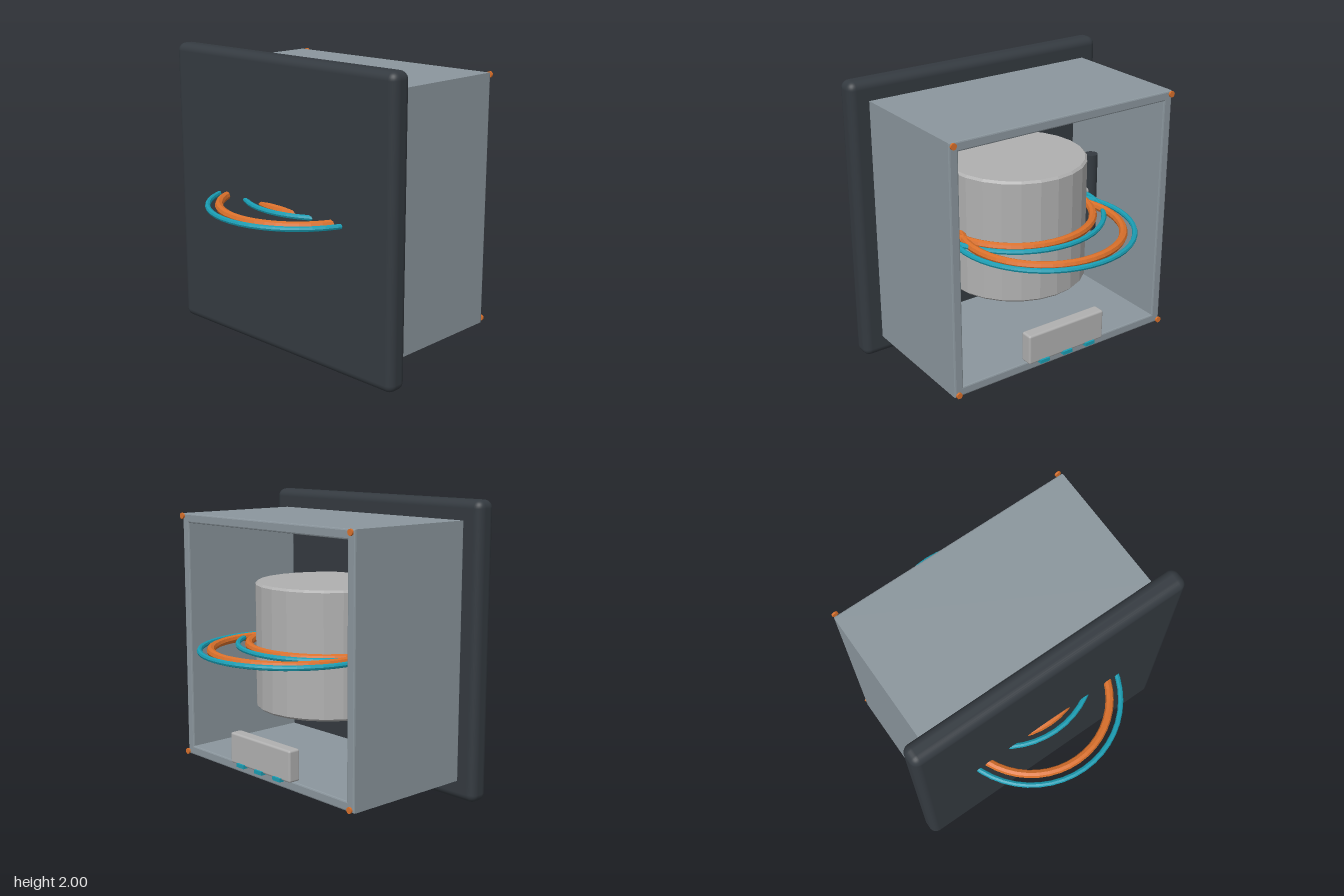
import * as THREE from 'three';
import { RoundedBoxGeometry } from 'three/addons/geometries/RoundedBoxGeometry.js';

const mat = (name, color) => {
  const m = new THREE.MeshStandardMaterial({ color });
  m.name = name;
  return m;
};

// Faceted normals for the low-poly round parts
const faceted = (geometry) => {
  const g = geometry.index ? geometry.toNonIndexed() : geometry;
  g.computeVertexNormals();
  return g;
};

export function createModel() {
  const charcoal = mat('charcoal', 0x343a40);
  const steel = mat('steel', 0x8b969d);
  const paleGrey = mat('paleGrey', 0xb0b0b0);
  const copper = mat('copper', 0xd9702b);
  const teal = mat('teal', 0x1a9db3);

  const model = new THREE.Group();
  const add = (name, geometry, material, x = 0, y = 0, z = 0) => {
    const mesh = new THREE.Mesh(geometry, material);
    mesh.name = name;
    mesh.position.set(x, y, z);
    model.add(mesh);
    return mesh;
  };

  // Front panel
  add('frontPanel', new RoundedBoxGeometry(2, 2, 0.15, 4, 0.055), charcoal, 0, 1, 0.46);

  // Open-backed casing: square tube with slightly bevelled edges
  const square = (shape, h) => shape.moveTo(-h, -h).lineTo(h, -h).lineTo(h, h).lineTo(-h, h).closePath();
  const bevel = 0.01;
  const outline = square(new THREE.Shape(), 0.865 - bevel);
  outline.holes.push(square(new THREE.Path(), 0.8 + bevel));
  const casing = new THREE.ExtrudeGeometry(outline, {
    depth: 0.96 - 2 * bevel, bevelEnabled: true, bevelSize: bevel, bevelThickness: bevel, bevelSegments: 2,
  });
  add('casing', casing, steel, 0, 1.002, -0.57 + bevel);

  // Central drum with a bevelled rim
  const drumProfile = [[0, -0.43], [0.475, -0.43], [0.49, -0.415], [0.49, 0.415], [0.475, 0.43], [0, 0.43]]
    .map(([r, y]) => new THREE.Vector2(r, y));
  add('drum', faceted(new THREE.LatheGeometry(drumProfile, 24)), paleGrey, 0, 1, 0);

  // Three coils, each a copper ring inside a thinner teal ring
  const ring = (name, radius, tube, material, z) => {
    const g = faceted(new THREE.TorusGeometry(radius, tube, 8, 48));
    add(name, g, material, 0, 1.002, z).rotation.x = Math.PI / 2;
  };
  for (const z of [-0.32, 0, 0.32]) {
    ring('copperCoil', 0.537, 0.028, copper, z);
    ring('tealCoil', 0.612, 0.018, teal, z);
  }

  // Side posts joined to the drum by short axles
  for (const side of [-1, 1]) {
    add('sidePost', new THREE.CylinderGeometry(0.047, 0.047, 0.58, 16), charcoal, side * 0.664, 1, 0);
    add('axle', new THREE.CylinderGeometry(0.03, 0.03, 0.2, 12), paleGrey, side * 0.55, 1.02, 0)
      .rotation.z = Math.PI / 2;
  }

  // Terminal block and its contacts
  add('terminalBlock', new RoundedBoxGeometry(0.62, 0.215, 0.09, 2, 0.015), paleGrey, 0, 0.31, -0.565);
  for (const x of [-0.19, 0, 0.19]) {
    add('terminalContact', new THREE.BoxGeometry(0.075, 0.025, 0.035), teal, x, 0.205, -0.607);
  }

  // Corner screws on the rear rim
  for (const x of [-0.845, 0.845]) {
    for (const y of [0.16, 1.85]) {
      add('cornerScrew', new THREE.CylinderGeometry(0.021, 0.021, 0.013, 12), copper, x, y, -0.588)
        .rotation.x = Math.PI / 2;
    }
  }
  return model;
}
